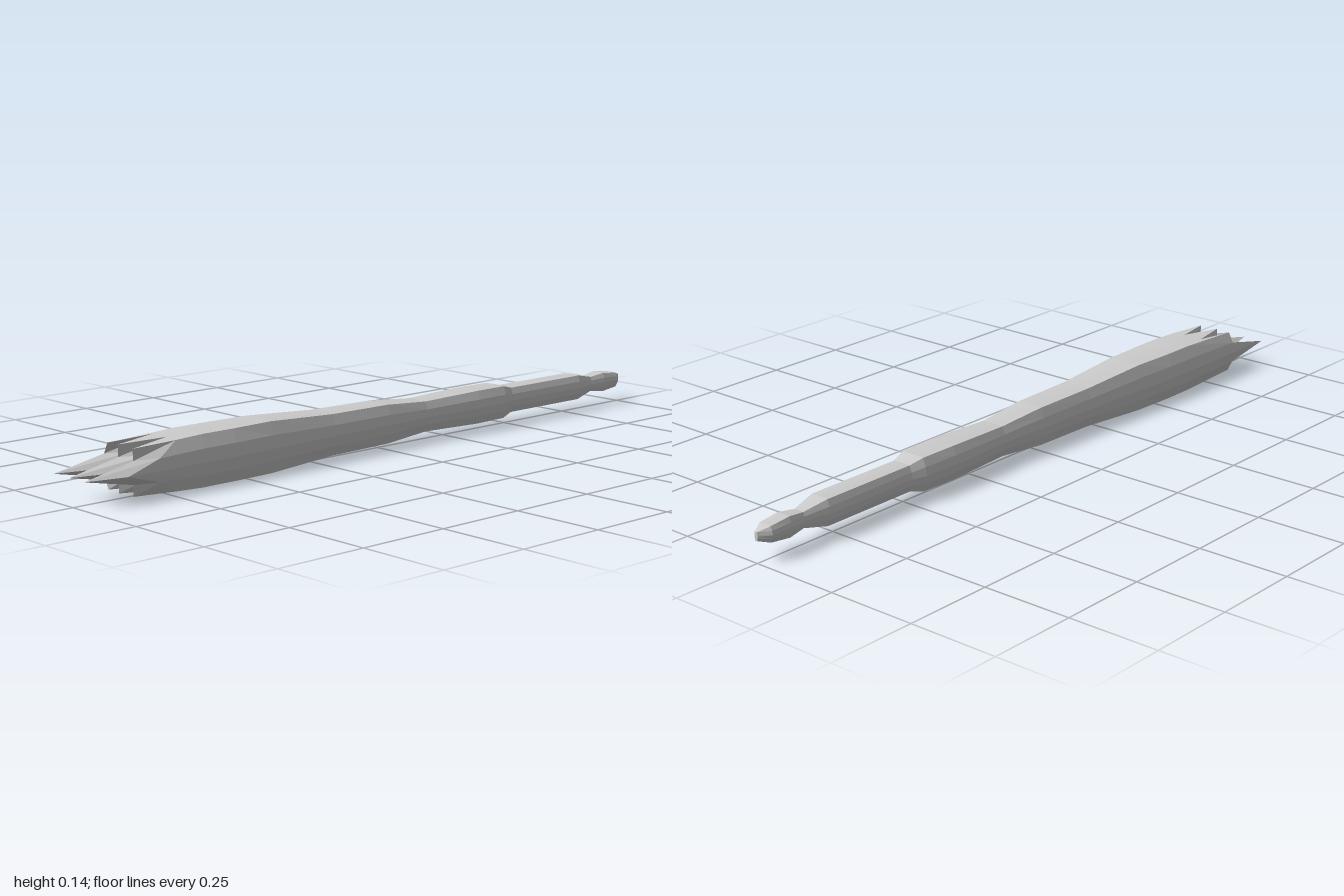
import * as THREE from 'three';

const MID = 0.072;
// Unit cross-section lattice: 6 columns by 5 rows, narrower towards top and bottom
const COLS = [-1, -0.58, -0.17, 0.24, 0.65, 1];
const ROWS = [-1, -0.48, 0, 0.48, 1];
const EDGE = [0.73, 0.92, 1, 0.92, 0.73];

function unitPoint(c, r) {
  const outer = c === 0 || c === 5;
  const u = COLS[c] * (outer ? EDGE[r] : 1 - (1 - EDGE[r]) * 0.2);
  const v = ROWS[r] * (Math.abs(ROWS[r]) === 1 ? 1 - 0.06 * Math.abs(u) : 1);
  return [u, v];
}

// Perimeter of the lattice, counter-clockwise seen from the front
function perimeter() {
  const p = [];
  for (let c = 0; c < 5; c++) p.push([c, 0]);
  for (let r = 0; r < 4; r++) p.push([5, r]);
  for (let c = 5; c > 0; c--) p.push([c, 4]);
  for (let r = 4; r > 0; r--) p.push([0, r]);
  return p;
}

// Stations along the shaft: z, half width, half height
const STATIONS = [
  [-1, 0.005, 0.012], [-0.97, 0.026, 0.022], [-0.91, 0.028, 0.029],
  [-0.86, 0.021, 0.022], [-0.79, 0.037, 0.037], [-0.5, 0.037, 0.037],
  [-0.46, 0.049, 0.048], [-0.35, 0.053, 0.049], [-0.15, 0.046, 0.044],
  [0, 0.054, 0.056], [0.2, 0.058, 0.058], [0.42, 0.069, 0.071],
  [0.55, 0.076, 0.071], [0.65, 0.076, 0.071],
];

// Serrated front: alternate columns project as teeth, pointed at mid height
function frontPoint(c, r) {
  const level = Math.abs(r - 2);
  const tooth = c % 2 === 0;
  const z = (tooth ? [1, 0.855, 0.855] : [0.89, 0.79, 0.73])[level];
  const [u, v] = unitPoint(c, r);
  const h = 0.071 - (z - 0.65) * 0.045;
  return [u * 0.076, MID + v * (level === 2 ? h : 0.062), z];
}

function buildGeometry(points, index) {
  const g = new THREE.BufferGeometry();
  g.setAttribute('position', new THREE.Float32BufferAttribute(points.flat(), 3));
  g.setIndex(index);
  const flat = g.toNonIndexed();
  flat.computeVertexNormals();
  return flat;
}

export function createModel() {
  const group = new THREE.Group();
  group.name = 'brush';
  const material = new THREE.MeshStandardMaterial({
    color: 0xcccccc, flatShading: true, side: THREE.DoubleSide,
  });
  const rim = perimeter();
  const n = rim.length;

  // Handle and head: rings lofted from the tail to the serrated edge
  const rings = STATIONS.map(([z, w, h]) => rim.map(([c, r]) => {
    const [u, v] = unitPoint(c, r);
    return [u * w, MID + v * h, z];
  }));
  rings.push(rim.map(([c, r]) => frontPoint(c, r)));
  const index = [];
  for (let i = 0; i < rings.length - 1; i++) {
    for (let j = 0; j < n; j++) {
      const a = i * n + j, b = i * n + (j + 1) % n;
      index.push(a, b, b + n, a, b + n, a + n);
    }
  }
  for (let j = 1; j < n - 1; j++) index.push(0, j + 1, j);
  const shaft = new THREE.Mesh(buildGeometry(rings.flat(), index), material);
  shaft.name = 'shaft';
  group.add(shaft);

  // Tooth faces closing the front
  const points = [], faces = [];
  for (let r = 0; r < 5; r++) for (let c = 0; c < 6; c++) points.push(frontPoint(c, r));
  for (let r = 0; r < 4; r++) {
    for (let c = 0; c < 5; c++) {
      const a = r * 6 + c;
      faces.push(a, a + 1, a + 7, a, a + 7, a + 6);
    }
  }
  const teeth = new THREE.Mesh(buildGeometry(points, faces), material);
  teeth.name = 'frontTeeth';
  group.add(teeth);
  return group;
}
